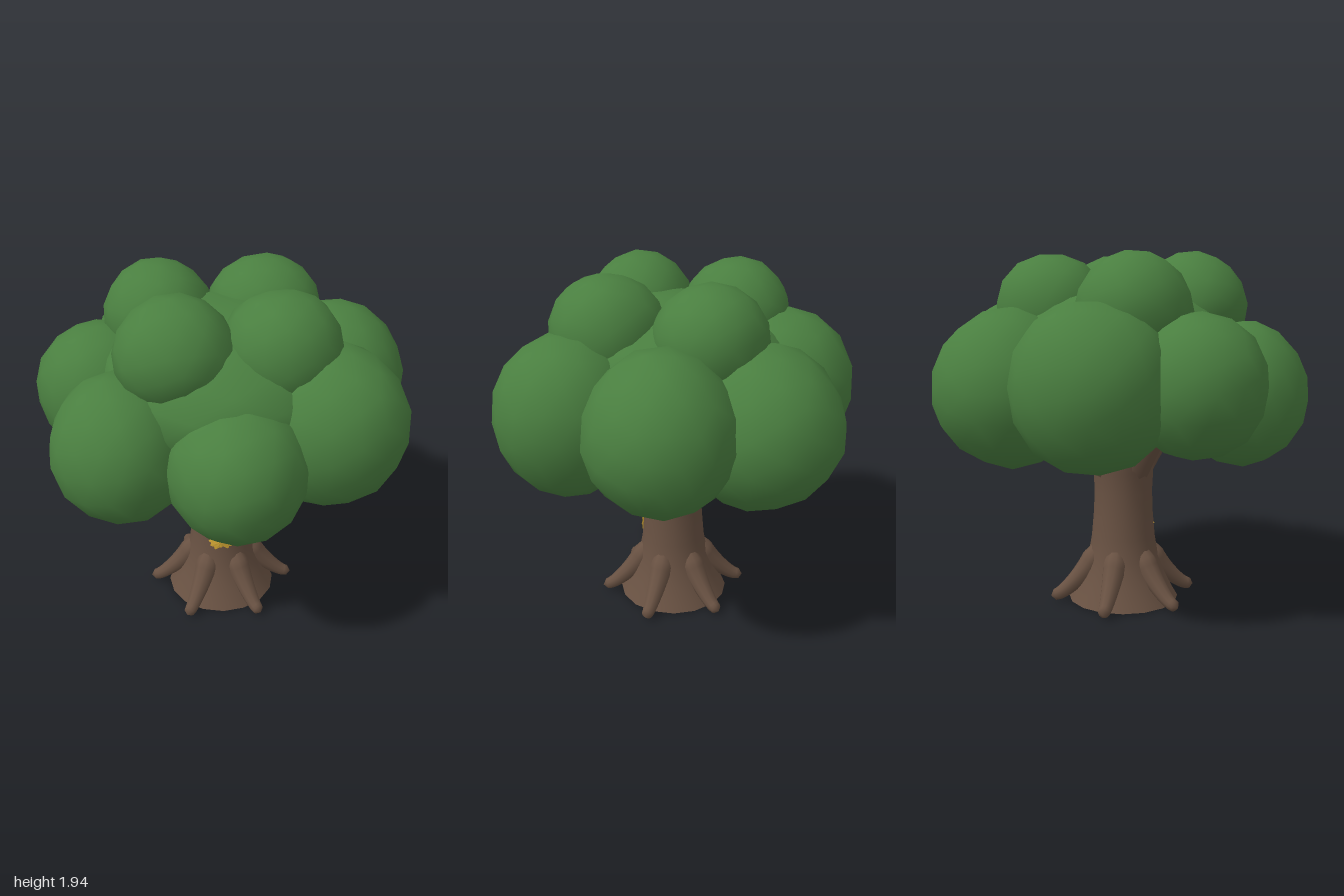
import * as THREE from 'three';
import { mergeVertices } from 'three/addons/utils/BufferGeometryUtils.js';

const mat = (name, color) => {
  const m = new THREE.MeshStandardMaterial({ color });
  m.name = name;
  return m;
};

// Rounded leaf mass: an ellipsoid with gentle uneven lumps
function blobGeometry(radii, seed) {
  const geo = new THREE.IcosahedronGeometry(1, 2);
  geo.rotateY(seed * 1.7);
  geo.rotateX(seed * 0.9);
  geo.deleteAttribute('uv');
  geo.deleteAttribute('normal');
  const merged = mergeVertices(geo, 1e-4);
  const pos = merged.attributes.position;
  const v = new THREE.Vector3();
  for (let i = 0; i < pos.count; i++) {
    v.fromBufferAttribute(pos, i);
    const wave = 1.012 + 0.014 * Math.sin(4 * v.x + seed) * Math.cos(4 * v.z - 2 * seed) + 0.008 * Math.sin(5 * v.y + 3 * seed);
    v.multiplyScalar(wave).multiply(radii);
    pos.setXYZ(i, v.x, v.y, v.z);
  }
  merged.computeVertexNormals();
  return merged;
}

// Tube along a path whose radius follows a rule; closes where the radius is 0
function taperedTube(points, radiusAt, segments = 14, sides = 10) {
  const curve = new THREE.CatmullRomCurve3(points.map((p) => new THREE.Vector3(...p)));
  const geo = new THREE.TubeGeometry(curve, segments, 1, sides);
  const pos = geo.attributes.position;
  const v = new THREE.Vector3();
  for (let i = 0; i <= segments; i++) {
    const t = i / segments;
    const c = curve.getPointAt(t);
    for (let j = 0; j <= sides; j++) {
      const k = i * (sides + 1) + j;
      v.fromBufferAttribute(pos, k).sub(c).multiplyScalar(radiusAt(t)).add(c);
      pos.setXYZ(k, v.x, v.y, v.z);
    }
  }
  geo.deleteAttribute('uv');
  geo.deleteAttribute('normal');
  const merged = mergeVertices(geo, 1e-5);
  merged.computeVertexNormals();
  return merged;
}

// Shallow domed disc with a scalloped rim, facing +z
function flowerGeometry(radius, height, petals) {
  const geo = new THREE.ConeGeometry(radius, height, petals * 2, 1);
  geo.rotateX(Math.PI / 2);
  const pos = geo.attributes.position;
  for (let i = 0; i < pos.count; i++) {
    const x = pos.getX(i);
    const y = pos.getY(i);
    const k = 0.91 + 0.09 * Math.cos(petals * Math.atan2(y, x));
    pos.setXY(i, x * k, y * k);
  }
  geo.computeVertexNormals();
  return geo;
}

export function createModel() {
  const model = new THREE.Group();
  model.name = 'tree';
  const leaf = mat('leaf green', 0x4a7f40);
  const bark = mat('bark brown', 0x685142);
  const gold = mat('flower gold', 0xe6b63a);

  const add = (parent, name, geo, material) => {
    const mesh = new THREE.Mesh(geo, material);
    mesh.name = name;
    parent.add(mesh);
    return mesh;
  };

  // Woody parts share the trunk axis
  const wood = new THREE.Group();
  wood.name = 'wood';
  wood.position.set(-0.015, 0, 0.032);
  model.add(wood);

  // Trunk with a flared foot
  const profile = [
    [0.31, 0], [0.275, 0.06], [0.235, 0.14], [0.198, 0.24], [0.178, 0.36],
    [0.166, 0.5], [0.162, 0.62], [0.168, 0.74], [0.185, 0.84], [0.18, 0.93], [0.12, 0.98],
  ].map((p) => new THREE.Vector2(...p));
  add(wood, 'trunk', new THREE.LatheGeometry(profile, 16), bark);
  const base = add(wood, 'trunkBase', new THREE.CircleGeometry(0.31, 16), bark);
  base.rotation.x = Math.PI / 2;

  // Six roots, broad at the trunk, with blunt rounded tips
  const rootRadius = (t) => {
    const tip = t > 0.92 ? Math.sqrt(Math.max(0, 1 - ((t - 0.92) / 0.08) ** 2)) : 1;
    return (0.076 - 0.046 * t) * tip * Math.min(1, 0.55 + 2.2 * t);
  };
  const rootGeo = taperedTube(
    [[0.13, 0.3, 0], [0.2, 0.195, 0], [0.285, 0.105, 0], [0.365, 0.045, 0], [0.42, 0.03, 0]],
    rootRadius, 18);
  for (let i = 0; i < 6; i++) {
    add(wood, 'root', rootGeo, bark).rotation.y = (i * Math.PI) / 3;
  }

  // Main branches rising into the crown
  const branchGeo = taperedTube(
    [[0.05, 0.7, 0], [0.15, 0.855, 0], [0.27, 1.02, 0], [0.42, 1.22, 0]],
    (t) => 0.095 - 0.02 * t, 8);
  for (const angle of [0, 1.33, 3.1, 4.33]) {
    add(wood, 'branch', branchGeo, bark).rotation.y = angle;
  }

  // Crown: [centre], [radii]
  const crown = new THREE.Group();
  crown.name = 'crown';
  model.add(crown);
  const blobs = [
    ['crownCore', [0, 1.38, 0.04], [0.66, 0.4, 0.68]],
    ['frontFoliage', [0.04, 1.15, 0.6], [0.35, 0.365, 0.365]],
    ['frontRightFoliage', [-0.53, 1.175, 0.41], [0.36, 0.39, 0.37]],
    ['frontLeftFoliage', [0.525, 1.265, 0.38], [0.39, 0.42, 0.38]],
    ['leftFoliage', [0.61, 1.27, -0.165], [0.39, 0.415, 0.385]],
    ['rightFoliage', [-0.65, 1.265, -0.085], [0.35, 0.365, 0.35]],
    ['backLeftFoliage', [0.235, 1.22, -0.545], [0.415, 0.425, 0.42]],
    ['backRightFoliage', [-0.3, 1.26, -0.465], [0.425, 0.43, 0.415]],
    ['topFoliage', [-0.335, 1.635, -0.21], [0.295, 0.29, 0.295]],
    ['topFoliage', [0.23, 1.625, -0.27], [0.31, 0.295, 0.295]],
    ['topFoliage', [-0.25, 1.64, 0.32], [0.305, 0.295, 0.29]],
    ['topFoliage', [0.275, 1.632, 0.27], [0.305, 0.295, 0.305]],
  ];
  blobs.forEach(([name, centre, radii], i) => {
    const geo = blobGeometry(new THREE.Vector3(...radii), i + 1);
    add(crown, name, geo, leaf).position.set(...centre);
  });

  // Scalloped flower on the front of the trunk
  add(model, 'flower', flowerGeometry(0.075, 0.014, 12), gold).position.set(-0.02, 0.41, 0.211);

  return model;
}
